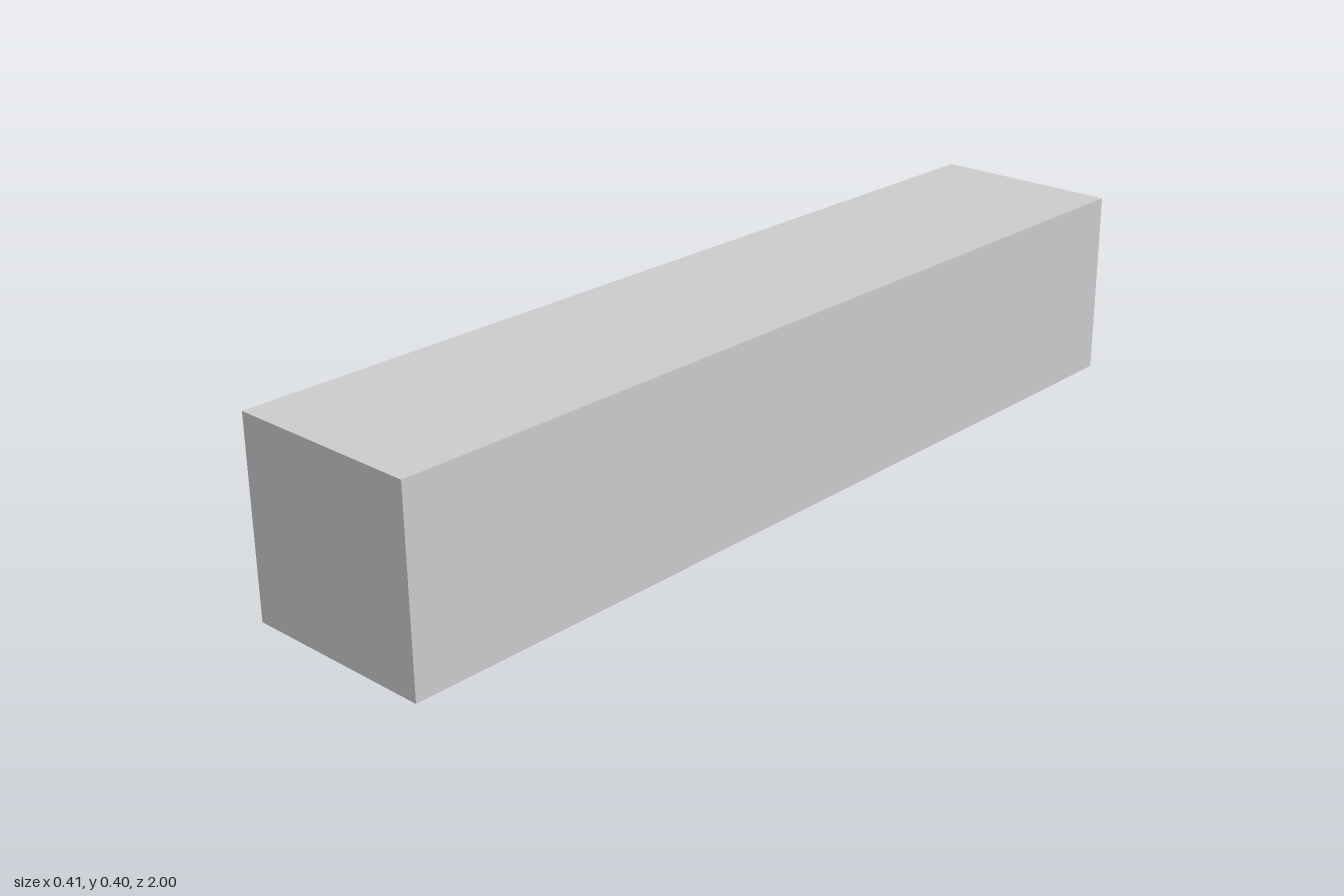
import * as THREE from 'three';

const W = 0.206, H = 0.4, L = 1; // half width, height, half length
const WALL = 0.012, SHEET = 0.005;

export function createModel() {
  const group = new THREE.Group();
  const material = new THREE.MeshStandardMaterial({ color: 0xcccccc, flatShading: true });

  const add = (name, geometry, x, y, z) => {
    const mesh = new THREE.Mesh(geometry, material);
    mesh.name = name;
    mesh.position.set(x, y, z);
    group.add(mesh);
    return mesh;
  };
  const panel = (name, w, h, d, x, y, z) => add(name, new THREE.BoxGeometry(w, h, d), x, y, z);

  // Floor and roof
  panel('floor', 2 * W, SHEET, 2 * L, 0, SHEET / 2, 0);
  panel('roof', 2 * W, SHEET, 2 * L, 0, H - SHEET / 2, 0);

  // Plain long wall
  const innerH = H - 2 * SHEET;
  panel('plainWall', SHEET, innerH, 2 * L, W - SHEET / 2, H / 2, 0);

  // End walls, fitted between the long walls
  const endWidth = 2 * W - WALL - SHEET;
  for (const [name, s] of [['frontWall', 1], ['backWall', -1]]) {
    panel(name, endWidth, innerH, SHEET, (WALL - SHEET) / 2, H / 2, s * (L - SHEET / 2));
  }

  // Long wall with four window openings
  const rect = (Type, x0, y0, x1, y1) => {
    const path = new Type();
    path.moveTo(x0, y0).lineTo(x1, y0).lineTo(x1, y1).lineTo(x0, y1).closePath();
    return path;
  };
  const wall = rect(THREE.Shape, -L, SHEET, L, H - SHEET);
  for (let i = 0; i < 4; i++) {
    const z = -0.8 + i * 0.36;
    wall.holes.push(rect(THREE.Path, z, 0.08, z + 0.16, 0.298));
  }
  const geometry = new THREE.ExtrudeGeometry(wall, { depth: WALL, bevelEnabled: false });
  geometry.rotateY(-Math.PI / 2);
  add('windowWall', geometry, -W + WALL, 0, 0);

  return group;
}
